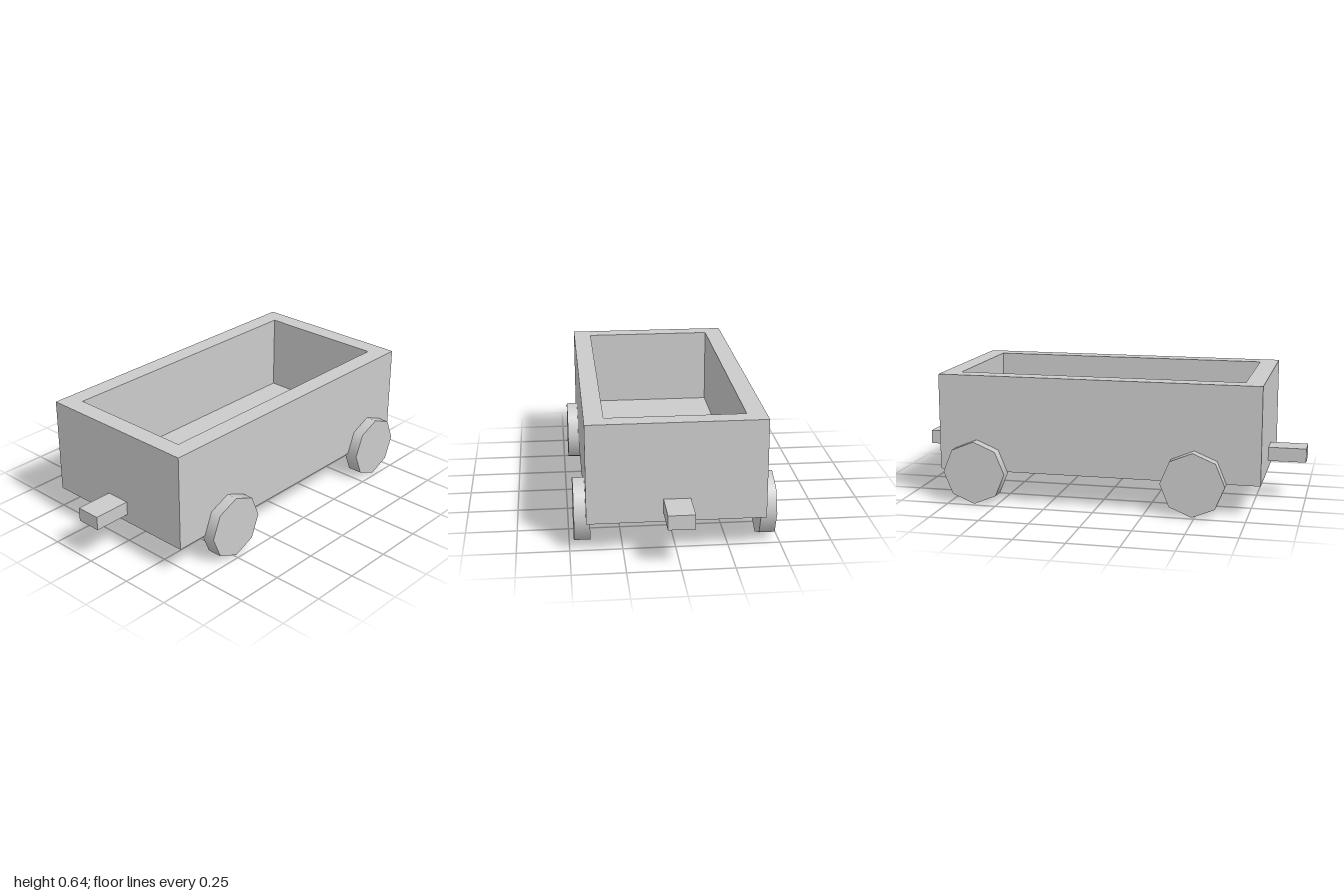
import * as THREE from 'three';

const material = new THREE.MeshStandardMaterial({ color: 0xcccccc });

function addPart(parent, name, geometry, x = 0, y = 0, z = 0) {
  const mesh = new THREE.Mesh(geometry, material);
  mesh.name = name;
  mesh.position.set(x, y, z);
  parent.add(mesh);
  return mesh;
}

// Open-topped box skinned over rectangular rings, with a cap at each end
function openBox(rings) {
  const corners = rings.map(([hx, hz, y]) =>
    [[1, 1], [1, -1], [-1, -1], [-1, 1]].map(([sx, sz]) => [sx * hx, y, sz * hz]));
  const positions = [];
  const quad = (a, b, c, d) => positions.push(...a, ...b, ...c, ...a, ...c, ...d);
  for (let r = 0; r < corners.length - 1; r++) {
    const lower = corners[r];
    const upper = corners[r + 1];
    for (let i = 0; i < 4; i++) {
      const j = (i + 1) % 4;
      quad(lower[i], lower[j], upper[j], upper[i]);
    }
  }
  quad(...[...corners[0]].reverse());
  quad(...corners[corners.length - 1]);
  const geometry = new THREE.BufferGeometry();
  geometry.setAttribute('position', new THREE.Float32BufferAttribute(positions, 3));
  geometry.computeVertexNormals();
  return geometry;
}

export function createModel() {
  const model = new THREE.Group();
  model.name = 'wagon';

  // Hollow body: outer base, outer rim, inner rim, inner floor
  addPart(model, 'body', openBox([
    [0.81, 0.422, 0.16],
    [0.81, 0.422, 0.645],
    [0.718, 0.33, 0.645],
    [0.718, 0.33, 0.25],
  ]));

  // Eight-sided wheels, sunk slightly into the body sides
  const wheelGeometry = new THREE.CylinderGeometry(0.159, 0.159, 0.076, 8).rotateX(Math.PI / 2);
  for (const [end, x] of [['right', -0.487], ['left', 0.617]]) {
    for (const [face, side] of [['front', 1], ['back', -1]]) {
      addPart(model, `${face} ${end} wheel`, wheelGeometry, x, 0.159, side * 0.44);
    }
  }

  // Coupling bars, rooted in the end walls
  const couplingGeometry = new THREE.BoxGeometry(0.23, 0.07, 0.127);
  for (const [end, side] of [['right', -1], ['left', 1]]) {
    addPart(model, `${end} coupling`, couplingGeometry, side * 0.885, 0.237, 0);
  }

  return model;
}
